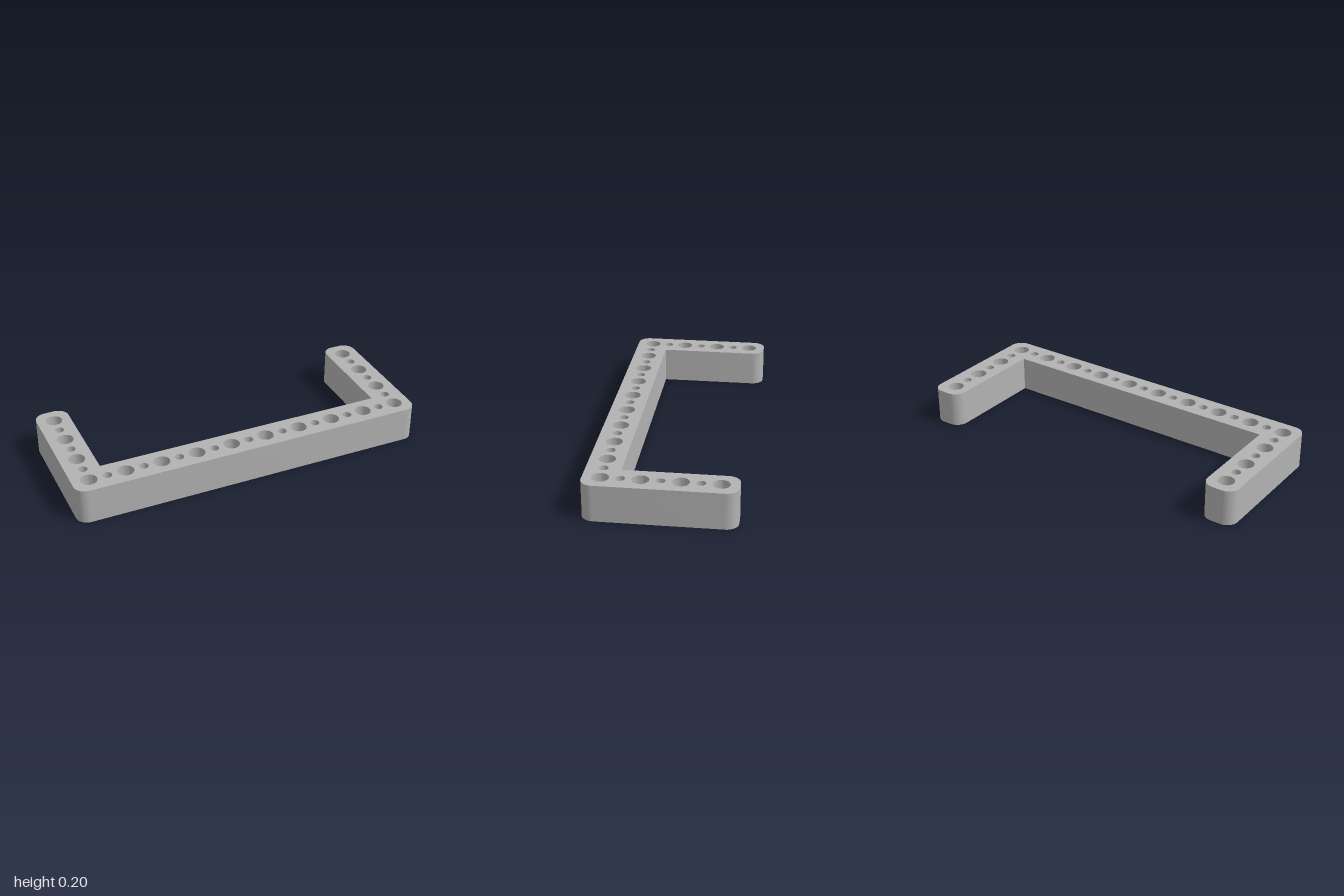
import * as THREE from 'three';
import { toCreasedNormals } from 'three/addons/utils/BufferGeometryUtils.js';

const HEIGHT = 0.2, X = 1, Z = 0.395, WIDTH = 0.185, CORNER = 0.065;
const PITCH = 0.2015, BIG = 0.045, SMALL = 0.025;

// U-shaped outline; shape y is -z, so the front edge lies at y = -Z
function outline() {
  const s = new THREE.Shape();
  const r = CORNER, q = Math.PI / 2;
  const inner = X - WIDTH, innerY = -Z + WIDTH;
  const corner = (x, y, start) => s.absarc(x, y, r, start, start + q, false);
  s.moveTo(-X + r, -Z);
  corner(X - r, -Z + r, -q);
  corner(X - r, Z - r, 0);
  corner(inner + r, Z - r, q);
  s.lineTo(inner, innerY);
  s.lineTo(-inner, innerY);
  corner(-inner - r, Z - r, 0);
  corner(-X + r, Z - r, q);
  corner(-X + r, -Z + r, 2 * q);
  s.closePath();
  return s;
}

export function createModel() {
  const group = new THREE.Group();
  group.name = 'perforatedBracket';
  const grey = new THREE.MeshStandardMaterial({ color: 0xb2b2b2 });
  grey.name = 'grey';

  const shape = outline();
  const addHole = (x, y, radius) => {
    const hole = new THREE.Path();
    hole.absarc(x, y, radius, 0, Math.PI * 2, true);
    shape.holes.push(hole);
  };

  // Alternating large and small holes along the front bar
  const endX = 4.5 * PITCH, frontY = -1.5 * PITCH;
  for (let i = 0; i <= 18; i++) {
    addHole(-endX + i * PITCH / 2, frontY, i % 2 ? SMALL : BIG);
  }
  // The same pattern continues along both arms
  for (const x of [-endX, endX]) {
    for (let i = 1; i <= 6; i++) {
      addHole(x, frontY + i * PITCH / 2, i % 2 ? SMALL : BIG);
    }
  }

  const extruded = new THREE.ExtrudeGeometry(shape, {
    depth: HEIGHT, bevelEnabled: false, curveSegments: 16,
  });
  extruded.rotateX(-Math.PI / 2);
  const bracket = new THREE.Mesh(toCreasedNormals(extruded, 0.7), grey);
  bracket.name = 'bracket';
  group.add(bracket);
  return group;
}
